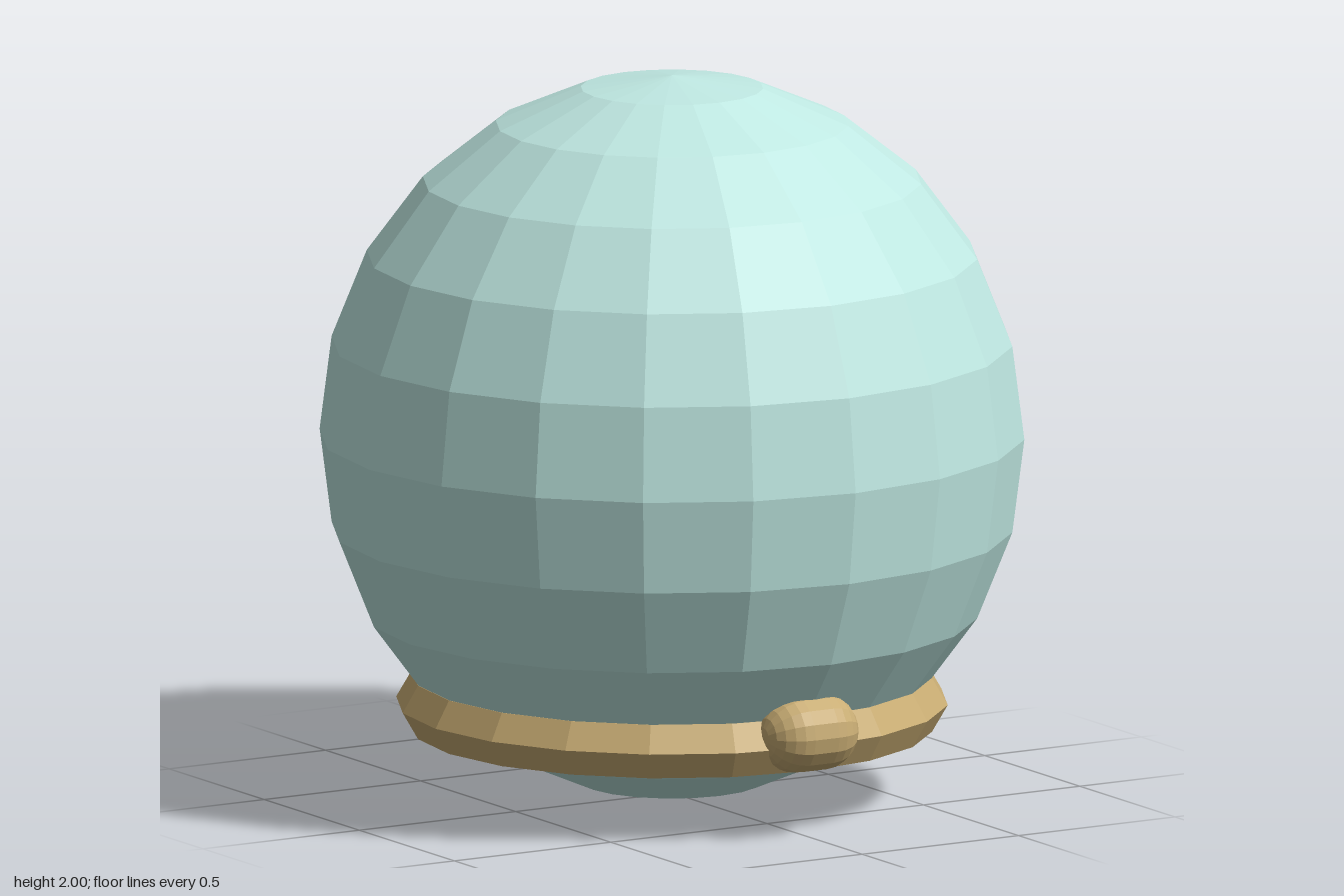
import * as THREE from 'three';

export function createModel() {
  const model = new THREE.Group();
  const glass = new THREE.MeshStandardMaterial({ color: 0xbfe8e2, flatShading: true });
  const brass = new THREE.MeshStandardMaterial({ color: 0xc9ad74, flatShading: true });

  const add = (name, geometry, material, x, y, z) => {
    const mesh = new THREE.Mesh(geometry, material);
    mesh.name = name;
    mesh.position.set(x, y, z);
    model.add(mesh);
    return mesh;
  };

  // Faceted globe, slightly taller than wide
  add('globe', new THREE.SphereGeometry(1, 20, 12).scale(0.966, 1, 0.966), glass, 0, 1, 0);

  // Six-sided collar ring around the lower part of the globe
  add('collar', new THREE.TorusGeometry(0.67, 0.086, 6, 20).rotateX(Math.PI / 2), brass, 0, 0.257, 0);

  // Rounded clasp lying across the front of the collar
  add('clasp', new THREE.CapsuleGeometry(0.107, 0.076, 6, 16).rotateZ(Math.PI / 2), brass, 0, 0.29, 0.713);

  return model;
}
